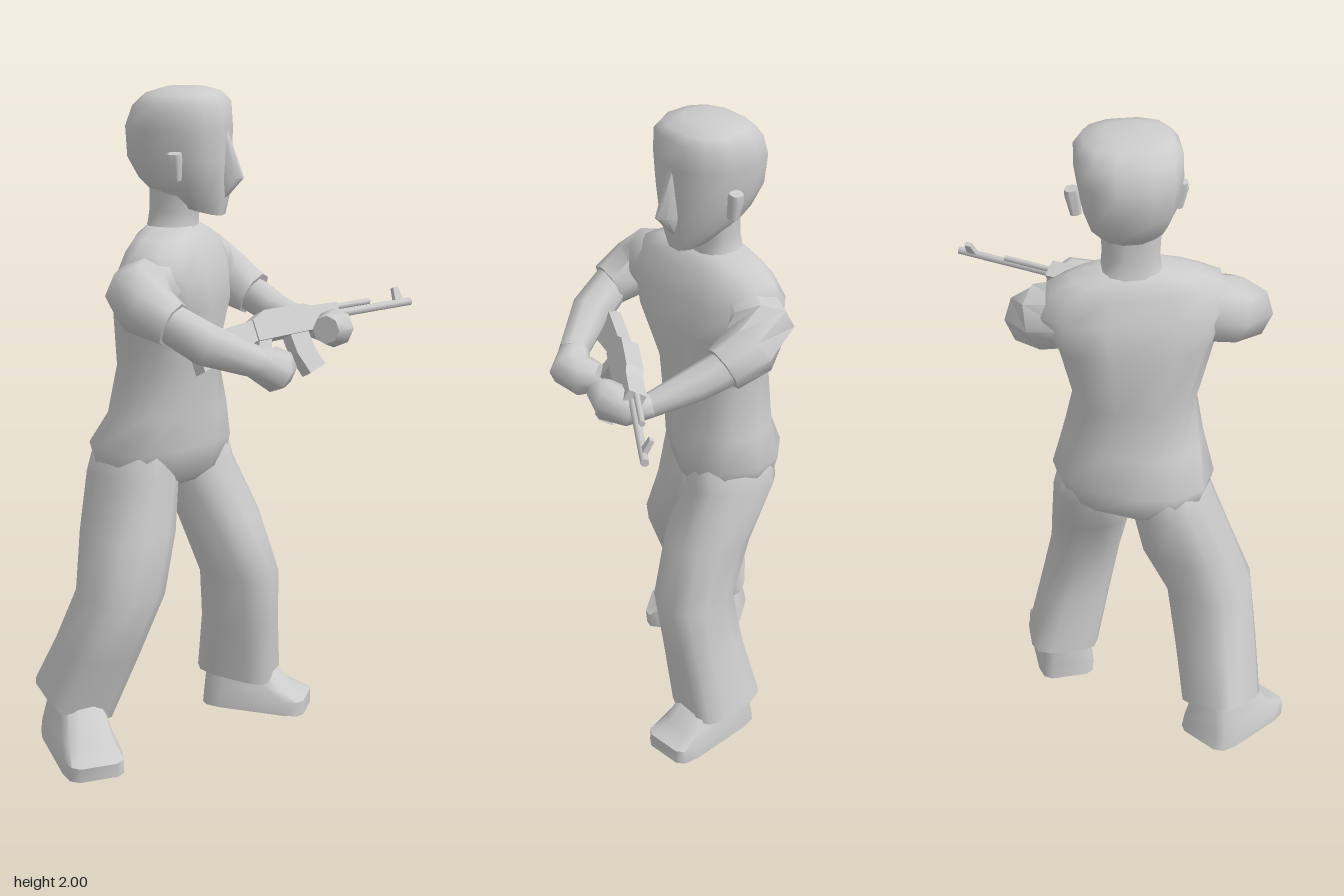
import * as THREE from 'three';
import { toCreasedNormals } from 'three/addons/utils/BufferGeometryUtils.js';

const V = (x, y, z) => new THREE.Vector3(x, y, z);
const mat = new THREE.MeshStandardMaterial({ color: 0xcccccc });
const SIDES = 12;

function mesh(name, geo, parent) {
  const m = new THREE.Mesh(geo, mat);
  m.name = name;
  parent.add(m);
  return m;
}

// Skin a list of rings (equal point counts) and close both ends
function loft(rings) {
  const n = rings[0].length, pos = [], idx = [];
  rings.forEach(r => r.forEach(p => pos.push(p.x, p.y, p.z)));
  for (let k = 0; k < rings.length - 1; k++) {
    for (let i = 0; i < n; i++) {
      const a = k * n + i, b = k * n + (i + 1) % n;
      idx.push(a, b, b + n, a, b + n, a + n);
    }
  }
  [rings[0], rings[rings.length - 1]].forEach((r, end) => {
    const c = r.reduce((s, p) => s.add(p), V(0, 0, 0)).divideScalar(n);
    const ci = pos.length / 3, base = end ? (rings.length - 1) * n : 0;
    pos.push(c.x, c.y, c.z);
    for (let i = 0; i < n; i++) {
      const a = base + i, b = base + (i + 1) % n;
      if (end) idx.push(a, b, ci); else idx.push(b, a, ci);
    }
  });
  const g = new THREE.BufferGeometry();
  g.setAttribute('position', new THREE.Float32BufferAttribute(pos, 3));
  g.setIndex(idx);
  return toCreasedNormals(g, 1.05);
}

// Horizontal ring: height, centre, half sizes, slope along x, squareness (1 round, lower squarer), yaw
function ring([y, cx, cz, rx, rz, slope = 0, e = 0.8, yaw = 0]) {
  const pts = [];
  for (let i = 0; i < SIDES; i++) {
    const a = ((i + 0.5) / SIDES) * Math.PI * 2, c = Math.cos(a), s = Math.sin(a);
    const p = V(Math.sign(c) * Math.abs(c) ** e * rx, 0, -Math.sign(s) * Math.abs(s) ** e * rz);
    p.applyAxisAngle(V(0, 1, 0), yaw);
    pts.push(V(cx + p.x, y + slope * p.x, cz + p.z));
  }
  return pts;
}
const stack = rows => loft(rows.map(ring));

// Limb through points [x, y, z, radius]
function limb(path, sides = 8) {
  const P = path.map(p => V(p[0], p[1], p[2]));
  return loft(P.map((p, k) => {
    const T = P[Math.min(k + 1, P.length - 1)].clone().sub(P[Math.max(k - 1, 0)]).normalize();
    const u = V(0, 1, 0).cross(T).normalize(), v = T.clone().cross(u);
    return Array.from({ length: sides }, (_, i) => {
      const a = (i / sides) * Math.PI * 2, r = path[k][3];
      return p.clone().addScaledVector(u, Math.cos(a) * r).addScaledVector(v, Math.sin(a) * r);
    });
  }));
}

function addHead(parent) {
  const head = new THREE.Group();
  head.name = 'head';
  parent.add(head);
  mesh('neck', stack([
    [1.55, -0.135, -0.01, 0.085, 0.12], [1.6, -0.135, -0.01, 0.07, 0.085, -0.2],
    [1.65, -0.13, -0.01, 0.07, 0.08], [1.72, -0.12, -0.01, 0.08, 0.085]]), head);
  mesh('skull', stack([
    [1.66, -0.08, -0.015, 0.1, 0.06, -0.25],
    [1.72, -0.1, -0.015, 0.132, 0.108, -0.15],
    [1.8, -0.115, -0.015, 0.15, 0.133],
    [1.89, -0.117, -0.015, 0.152, 0.147],
    [1.955, -0.108, -0.015, 0.138, 0.147, 0.04],
    [1.985, -0.1, -0.015, 0.108, 0.125],
    [2.0, -0.1, -0.015, 0.06, 0.07],
  ]), head);
  mesh('nose', stack([[1.69, 0.015, -0.015, 0.015, 0.02], [1.745, 0.024, -0.015, 0.056, 0.034, 0, 1.1], [1.88, 0.015, -0.015, 0.015, 0.014]]), head);
  for (const s of [1, -1]) {
    const ear = mesh(s > 0 ? 'rightEar' : 'leftEar', stack([
      [-0.04, 0, 0, 0.016, 0.016], [0.02, 0, 0, 0.021, 0.022], [0.038, 0, 0, 0.02, 0.018]]), head);
    ear.position.set(-0.08, 1.79, -0.015 + s * 0.146);
    ear.rotation.x = s * 0.15;
  }
}

// Shoe pointing along local +x, sole at y = 0
function addShoe(name, parent, x, y, z, yaw, pitch, width) {
  const shoe = mesh(name, stack([
    [0, 0, 0, 0.165, width, 0, 0.35], [0.045, 0, 0, 0.163, width * 0.97, 0, 0.35],
    [0.095, -0.03, 0, 0.132, width * 0.85, -0.2, 0.5], [0.18, -0.075, 0, 0.08, 0.065, 0, 0.8]]), parent);
  shoe.position.set(x, y, z);
  shoe.rotation.set(0, yaw, pitch, 'YXZ');
}

// Rifle along local +x, front of the fore-end at the origin
function addRifle(parent) {
  const rifle = new THREE.Group();
  rifle.name = 'rifle';
  rifle.position.set(0.31, 1.325, -0.19);
  rifle.rotation.set(-0.48, 0.99, 0, 'YXZ');
  parent.add(rifle);
  const plate = (name, pts, w) => {
    const g = new THREE.ExtrudeGeometry(new THREE.Shape(pts.map(p => new THREE.Vector2(...p))), { depth: w, bevelEnabled: false });
    return mesh(name, g.translate(0, 0, -w / 2), rifle);
  };
  const rod = (name, x0, x1, y, r) => {
    const g = new THREE.CylinderGeometry(r, r, x1 - x0, 8).rotateZ(Math.PI / 2);
    return mesh(name, g.translate((x0 + x1) / 2, y, 0), rifle);
  };
  plate('receiver', [[0, -0.03], [0, 0.03], [-0.1, 0.032], [-0.13, 0.042], [-0.28, 0.042], [-0.33, 0.02], [-0.33, -0.045], [-0.12, -0.04]], 0.055);
  plate('buttStock', [[-0.32, 0.02], [-0.55, -0.005], [-0.55, -0.105], [-0.32, -0.04]], 0.045);
  plate('magazine', [[-0.135, -0.035], [-0.205, -0.035], [-0.2, -0.1], [-0.175, -0.165], [-0.11, -0.145], [-0.13, -0.09]], 0.04);
  plate('pistolGrip', [[-0.27, -0.035], [-0.32, -0.035], [-0.35, -0.11], [-0.31, -0.12]], 0.035);
  rod('barrel', -0.02, 0.315, 0, 0.012);
  rod('gasTube', -0.02, 0.15, 0.022, 0.009);
  plate('frontSight', [[0.25, 0], [0.26, 0.05], [0.28, 0.05], [0.285, 0]], 0.014);
}

export function createModel() {
  const model = new THREE.Group();
  model.name = 'figure';
  addHead(model);

  // Torso with the pelvis turned towards the trailing leg
  mesh('torso', stack([
    [0.83, -0.175, -0.01, 0.1, 0.14, 0, 0.85, -0.5],
    [0.87, -0.18, -0.01, 0.148, 0.215, 0, 0.85, -0.48],
    [0.95, -0.18, -0.01, 0.165, 0.238, 0, 0.85, -0.45],
    [1.05, -0.155, -0.01, 0.145, 0.21, 0, 0.85, -0.28],
    [1.2, -0.15, 0, 0.136, 0.178, 0, 0.8, -0.1],
    [1.38, -0.135, 0, 0.155, 0.225, 0, 0.7],
    [1.48, -0.13, 0, 0.135, 0.275, 0, 0.75],
    [1.55, -0.13, 0.005, 0.105, 0.25, 0, 0.8],
    [1.58, -0.135, 0, 0.09, 0.18],
    [1.605, -0.135, -0.005, 0.068, 0.095],
  ]), model);

  // Trouser legs, hem first
  mesh('rightTrouserLeg', stack([
    [0.18, -0.378, 0.238, 0.1, 0.1, -0.42, 0.45, -0.75],
    [0.35, -0.302, 0.23, 0.112, 0.112, -0.2, 0.65, -0.7],
    [0.53, -0.23, 0.217, 0.13, 0.122, 0, 0.8, -0.6],
    [0.7, -0.23, 0.147, 0.133, 0.135, 0, 0.8, -0.5],
    [0.87, -0.23, 0.098, 0.142, 0.115, 0, 0.8, -0.45],
    [0.96, -0.225, 0.09, 0.13, 0.1, 0, 0.85, -0.45],
    [1.04, -0.18, 0.07, 0.07, 0.06, 0, 0.85, -0.45],
  ]), model);
  mesh('leftTrouserLeg', stack([
    [0.155, 0.01, -0.21, 0.122, 0.108, -0.15, 0.55],
    [0.35, 0.027, -0.165, 0.115, 0.106, -0.05, 0.7],
    [0.51, 0.035, -0.13, 0.12, 0.105],
    [0.7, -0.03, -0.118, 0.122, 0.12, 0, 0.8, -0.15],
    [0.87, -0.12, -0.122, 0.13, 0.112, 0, 0.8, -0.35],
    [0.96, -0.128, -0.112, 0.125, 0.1, 0, 0.85, -0.45],
    [1.04, -0.14, -0.09, 0.07, 0.06, 0, 0.85, -0.45],
  ]), model);
  addShoe('rightShoe', model, -0.335, 0.03, 0.285, -0.88, -0.16, 0.095);
  addShoe('leftShoe', model, 0.07, 0.045, -0.212, 0.06, -0.04, 0.09);

  // Sleeves, forearms and hands
  mesh('rightSleeve', limb([[-0.135, 1.455, 0.18, 0.1], [-0.135, 1.44, 0.28, 0.1], [-0.1, 1.41, 0.318, 0.086], [-0.02, 1.375, 0.33, 0.068]]), model);
  mesh('rightForearm', limb([[-0.05, 1.39, 0.33, 0.058], [0.07, 1.32, 0.31, 0.062], [0.2, 1.26, 0.23, 0.045]]), model);
  mesh('rightHand', limb([[0.185, 1.265, 0.24, 0.044], [0.235, 1.235, 0.195, 0.064], [0.225, 1.23, 0.14, 0.06], [0.2, 1.235, 0.1, 0.04]]), model);
  mesh('leftSleeve', limb([[-0.12, 1.455, -0.17, 0.1], [-0.1, 1.44, -0.25, 0.1], [-0.04, 1.4, -0.275, 0.085], [0.04, 1.36, -0.258, 0.07]]), model);
  mesh('leftForearm', limb([[0, 1.375, -0.27, 0.058], [0.11, 1.325, -0.225, 0.052], [0.25, 1.285, -0.182, 0.035]]), model);
  mesh('leftHand', limb([[0.24, 1.285, -0.185, 0.035], [0.305, 1.29, -0.16, 0.052], [0.33, 1.3, -0.115, 0.058], [0.32, 1.305, -0.055, 0.042]]), model);

  addRifle(model);
  return model;
}
